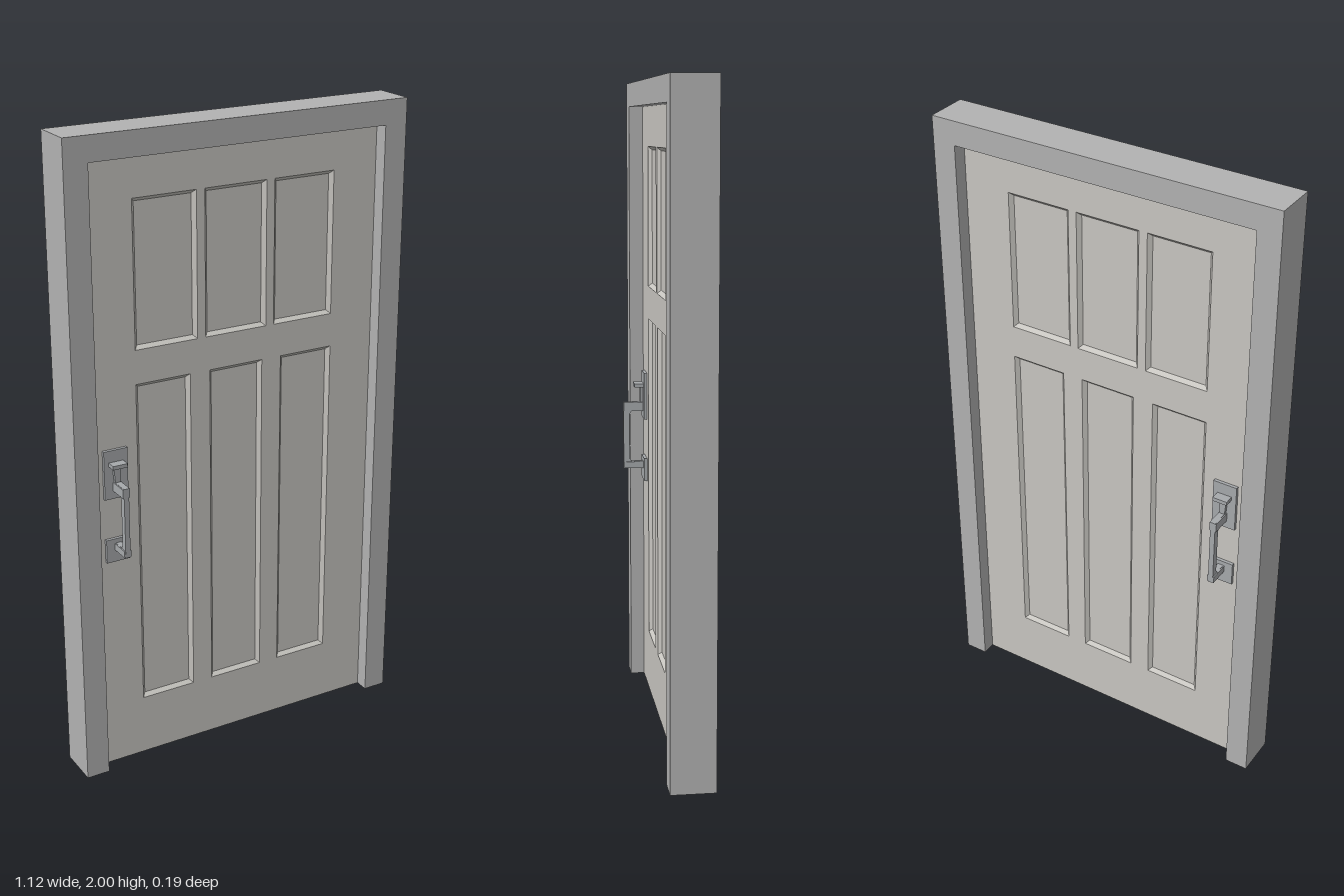
import * as THREE from 'three';

const mat = (name, color) => {
  const m = new THREE.MeshStandardMaterial({ color });
  m.name = name;
  return m;
};

const FACE = 0.022;   // half thickness of the door leaf
const SUNK = 0.01;    // half thickness at the panels
const BEVEL = 0.011;  // width of the sloped moulding

// [left, right, bottom, top] of every panel
const panels = [];
for (const [x, half] of [[-0.2325, 0.1025], [0, 0.103], [0.2325, 0.1025]]) panels.push([x - half, x + half, 1.355, 1.8]);
for (const x of [-0.246, 0, 0.246]) panels.push([x - 0.09, x + 0.09, 0.197, 1.25]);

const rectPoints = (l, r, b, t) => [[l, b], [r, b], [r, t], [l, t]].map(p => new THREE.Vector2(...p));

// Sunken tray: four sloped sides and a flat bottom
function trayGeometry([l, r, b, t]) {
  const outer = rectPoints(l, r, b, t).map(p => [p.x, p.y, FACE]);
  const inner = rectPoints(l + BEVEL, r - BEVEL, b + BEVEL, t - BEVEL).map(p => [p.x, p.y, SUNK]);
  const pos = [];
  const quad = (a, c, d, e) => pos.push(...a, ...c, ...d, ...a, ...d, ...e);
  for (let i = 0; i < 4; i++) {
    const j = (i + 1) % 4;
    quad(outer[i], outer[j], inner[j], inner[i]);
  }
  quad(...inner);
  const g = new THREE.BufferGeometry();
  g.setAttribute('position', new THREE.Float32BufferAttribute(pos, 3));
  g.computeVertexNormals();
  return g;
}

export function createModel() {
  const root = new THREE.Group();
  root.name = 'door';
  const frameMat = mat('frame grey', 0xb2b2b2);
  const leafMat = mat('leaf warm grey', 0xc8c6c1);
  const metalMat = mat('handle metal', 0xa6a9ac);

  const add = (parent, name, geometry, material) => {
    const mesh = new THREE.Mesh(geometry, material);
    mesh.name = name;
    parent.add(mesh);
    return mesh;
  };

  // Frame: two jambs and a head in one arch
  const arch = new THREE.Shape([
    [-0.558, 0], [-0.484, 0], [-0.484, 1.925], [0.484, 1.925],
    [0.484, 0], [0.558, 0], [0.558, 2], [-0.558, 2],
  ].map(p => new THREE.Vector2(...p)));
  add(root, 'frame', new THREE.ExtrudeGeometry(arch, { depth: 0.134, bevelEnabled: false })
    .translate(0, 0, -0.067), frameMat);

  // Leaf with openings for the panels
  const leaf = new THREE.Shape(rectPoints(-0.484, 0.484, 0, 1.925));
  leaf.holes = panels.map(p => new THREE.Path(rectPoints(...p).reverse()));
  add(root, 'leaf', new THREE.ExtrudeGeometry(leaf, { depth: 2 * FACE, bevelEnabled: false })
    .translate(0, 0, -FACE), leafMat);

  // Handle grip profile in z and y, with chamfered inner corners
  const grip = new THREE.Shape([
    [0.03, 0.742], [0.097, 0.742], [0.097, 0.965], [0.03, 0.965], [0.03, 0.935],
    [0.07, 0.935], [0.077, 0.925], [0.077, 0.775], [0.07, 0.765], [0.03, 0.765],
  ].map(p => new THREE.Vector2(...p)));

  // Thumb latch stem, narrowing downwards
  const stem = new THREE.Shape([[-0.008, 0.965], [0.008, 0.965], [0.012, 1.016], [-0.012, 1.016]]
    .map(p => new THREE.Vector2(...p)));

  for (const [side, turn] of [['front', 0], ['back', Math.PI]]) {
    const trays = new THREE.Group();
    trays.name = side + 'Panels';
    trays.rotation.y = turn;
    panels.forEach(p => add(trays, 'panel', trayGeometry(p), leafMat));
    root.add(trays);

    const handle = new THREE.Group();
    handle.name = side + 'Handle';
    handle.position.x = -0.412;
    handle.rotation.y = turn;
    const box = (name, w, y0, y1, z0, z1) => add(handle, name,
      new THREE.BoxGeometry(w, y1 - y0, z1 - z0).translate(0, (y0 + y1) / 2, (z0 + z1) / 2), metalMat);
    box('upperPlate', 0.077, 0.911, 1.065, FACE - 0.002, 0.032);
    box('lowerPlate', 0.077, 0.704, 0.779, FACE - 0.002, 0.032);
    add(handle, 'grip', new THREE.ExtrudeGeometry(grip, { depth: 0.016, bevelEnabled: false })
      .translate(0, 0, -0.008).rotateY(-Math.PI / 2), metalMat);
    box('upperArm', 0.023, 0.936, 0.964, 0.03, 0.0965);
    box('lowerArm', 0.023, 0.743, 0.764, 0.03, 0.0965);
    box('thumbLatch', 0.047, 1.016, 1.028, 0.03, 0.062);
    add(handle, 'latchStem', new THREE.ExtrudeGeometry(stem, { depth: 0.012, bevelEnabled: false })
      .translate(0, 0, 0.03), metalMat);
    root.add(handle);
  }
  return root;
}
